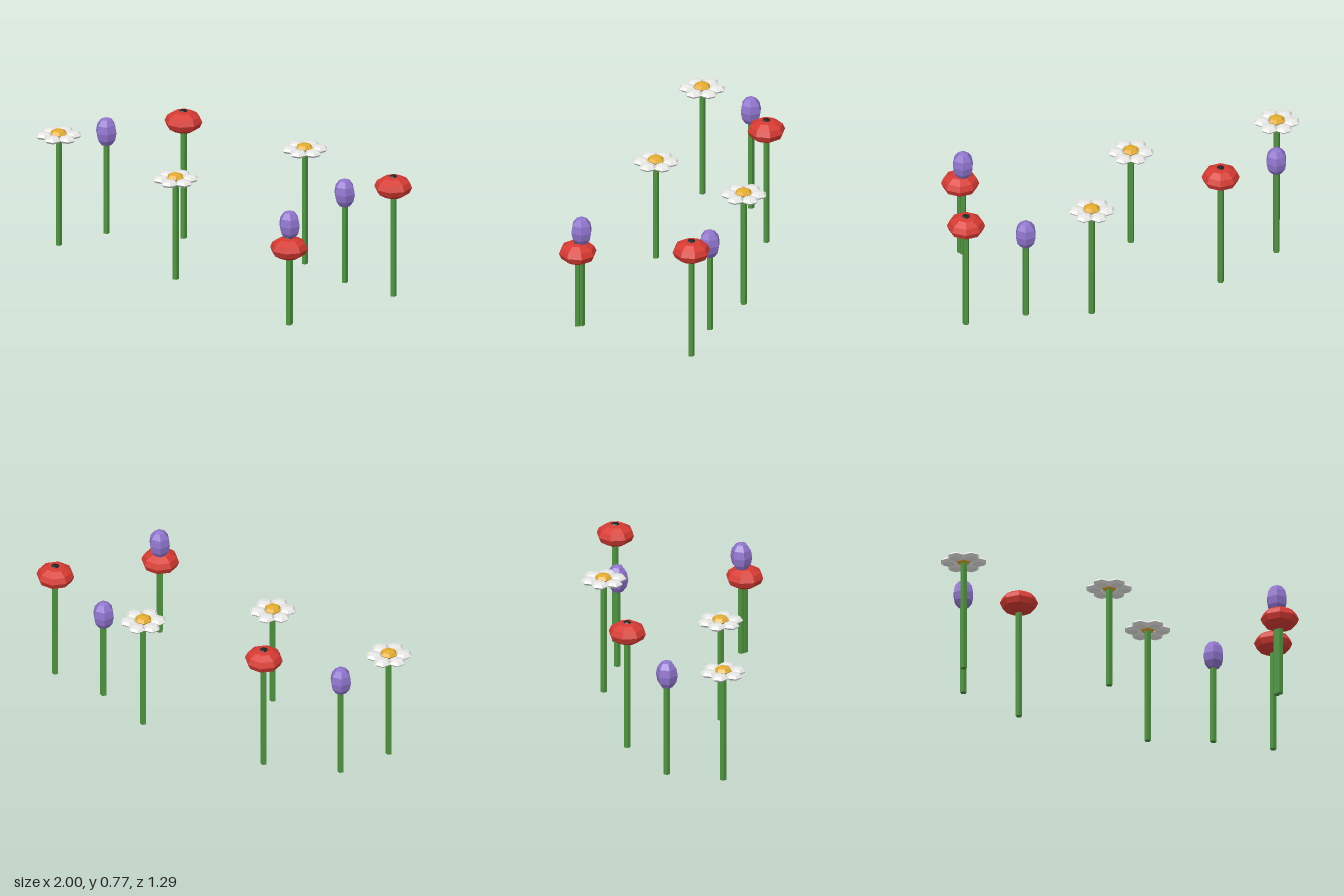
import * as THREE from 'three';

const mat = (name, color) => {
  const m = new THREE.MeshStandardMaterial({ color, flatShading: true });
  m.name = name;
  return m;
};

export function createModel() {
  const green = mat('stemGreen', 0x4f9440);
  const white = mat('petalWhite', 0xf2f2f0);
  const yellow = mat('centreYellow', 0xe3ac30);
  const red = mat('poppyRed', 0xd63a32);
  const purple = mat('budPurple', 0x8f74cc);
  const black = mat('seedBlack', 0x222222);

  // Faceted ellipsoid with corners on the z axis
  const blob = (r, h, sides, rings) =>
    new THREE.SphereGeometry(r, sides, rings).rotateY(Math.PI / 2).scale(1, h / r, 1);
  const petalGeo = blob(0.05, 0.02, 6, 4);
  const discGeo = blob(0.05, 0.024, 6, 4);
  const poppyGeo = blob(0.107, 0.064, 8, 6);
  const seedGeo = blob(0.027, 0.016, 6, 4);
  const budGeo = blob(0.063, 0.086, 6, 6);

  const add = (parent, name, geo, material, x, y, z) => {
    const m = new THREE.Mesh(geo, material);
    m.name = name;
    m.position.set(x, y, z);
    parent.add(m);
  };

  // Flower heads, built around the top of the stem
  const heads = {
    daisy(g, y) {
      for (let i = 0; i < 6; i++) {
        const a = (i * Math.PI) / 3;
        add(g, 'petal', petalGeo, white, 0.082 * Math.cos(a), y, 0.082 * Math.sin(a));
      }
      add(g, 'daisyCentre', discGeo, yellow, 0, y + 0.011, 0);
    },
    poppy(g, y) {
      add(g, 'poppyBloom', poppyGeo, red, 0, y, 0);
      add(g, 'poppySeed', seedGeo, black, 0, y + 0.055, 0);
    },
    bud(g, y) {
      add(g, 'budBloom', budGeo, purple, 0, y, 0);
    },
  };

  // Kind, x, z and head height of each flower
  const flowers = [
    ['daisy', -0.875, 0.525, 0.653],
    ['daisy', -0.063, 0.3, 0.595],
    ['daisy', 0.153, -0.428, 0.68],
    ['poppy', -0.565, -0.107, 0.695],
    ['poppy', 0.853, -0.54, 0.65],
    ['poppy', 0.888, 0.195, 0.456],
    ['bud', -0.875, 0.2, 0.603],
    ['bud', 0.52, -0.443, 0.53],
    ['bud', 0.872, 0.18, 0.585],
  ];

  const model = new THREE.Group();
  model.name = 'flowers';
  for (const [kind, x, z, y] of flowers) {
    const g = new THREE.Group();
    g.name = kind;
    g.position.set(x, 0, z);
    add(g, 'stem', new THREE.CylinderGeometry(0.019, 0.019, y, 5), green, 0, y / 2, 0);
    heads[kind](g, y);
    model.add(g);
  }
  return model;
}
